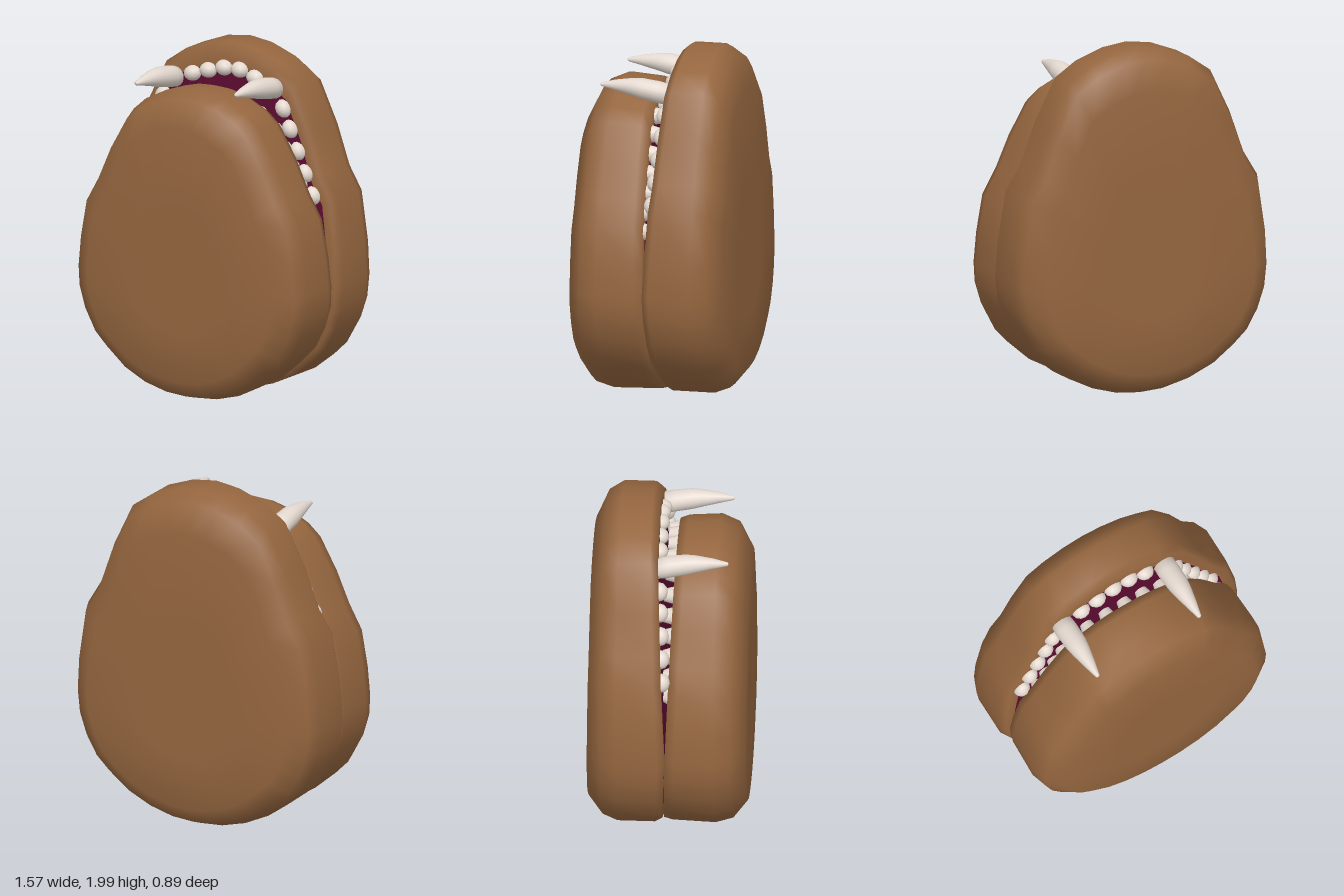
import * as THREE from 'three';

const skin = new THREE.MeshStandardMaterial({ color: 0x95663f });
const gum = new THREE.MeshStandardMaterial({ color: 0x5c0a30 });
const enamel = new THREE.MeshStandardMaterial({ color: 0xe3d8cf });

// Half outlines, from chin (bottom) to lip (top), on the +x side
const backHalf = [[0, 0.01], [0.14, 0.02], [0.29, 0.06], [0.44, 0.13], [0.57, 0.23], [0.655, 0.31],
  [0.725, 0.43], [0.77, 0.56], [0.785, 0.7], [0.775, 0.9], [0.73, 1.2], [0.645, 1.34],
  [0.56, 1.58], [0.44, 1.83], [0.31, 1.92], [0.15, 1.98], [0, 2]];
const frontHalf = [[0, 0.01], [0.14, 0.02], [0.29, 0.06], [0.43, 0.13], [0.56, 0.24], [0.64, 0.32],
  [0.71, 0.45], [0.75, 0.58], [0.757, 0.7], [0.74, 0.88], [0.7, 1.1], [0.615, 1.25],
  [0.53, 1.44], [0.42, 1.63], [0.34, 1.7], [0.2, 1.77], [0.1, 1.795], [0, 1.8]];

// Slightly opened mouth planes of the two jaws
const backMouth = y => -0.05 * Math.abs(y - 0.7);
const frontMouth = y => 0.035 * (y - 0.7);

const mirrorOutline = half =>
  [...half, ...half.slice(1, -1).reverse().map(([x, y]) => [-x, y])];

// Skin a surface over scaled copies of an outline, ordered from back to front.
// Each ring is [scale, z], where z is a number or a function of y.
function loft(name, half, centreY, rings, material) {
  const outline = mirrorOutline(half);
  const n = outline.length;
  const position = [], index = [];
  rings.forEach(([s, z], r) => {
    for (const [x, y] of outline) {
      const py = centreY + (y - centreY) * s;
      position.push(x * s, py, typeof z === 'function' ? z(py) : z);
    }
    if (r === 0) return;
    for (let j = 0; j < n; j++) {
      const a = (r - 1) * n + j, b = (r - 1) * n + (j + 1) % n;
      index.push(a, b, b + n, a, b + n, a + n);
    }
  });
  const geometry = new THREE.BufferGeometry();
  geometry.setAttribute('position', new THREE.Float32BufferAttribute(position, 3));
  geometry.setIndex(index);
  geometry.computeVertexNormals();
  return addMesh(name, geometry, material);
}

function addMesh(name, geometry, material) {
  const mesh = new THREE.Mesh(geometry, material);
  mesh.name = name;
  return mesh;
}

export function createModel() {
  const group = new THREE.Group();

  // Upper (back) jaw and its palate
  const tilt = y => -0.448 + 0.007 * y;
  const palate = [[0.9, backMouth], [0.7, backMouth], [0.45, backMouth], [0.2, backMouth], [0.001, backMouth]];
  group.add(
    loft('upperJaw', backHalf, 0.75, [[0.001, tilt], [0.4, tilt], [0.82, tilt], [0.955, -0.365], [1, -0.28],
      [1, y => backMouth(y) - 0.04], [0.97, backMouth], [0.9, backMouth]], skin),
    loft('palate', backHalf, 0.75, palate, gum));

  // Lower (front) jaw and its mouth floor
  const floor = [[0.001, frontMouth], [0.2, frontMouth], [0.45, frontMouth], [0.7, frontMouth], [0.9, frontMouth]];
  group.add(
    loft('lowerJaw', frontHalf, 0.7, [[0.9, frontMouth], [0.97, frontMouth], [0.988, y => frontMouth(y) + 0.05],
      [1, 0.27], [0.96, 0.37], [0.82, 0.448], [0.4, 0.448], [0.001, 0.448]], skin),
    loft('mouthFloor', frontHalf, 0.7, floor, gum));

  // Rounded upper teeth, set a little off centre
  const bead = new THREE.SphereGeometry(1, 12, 8);
  const shift = -0.025;
  const upperTeeth = new THREE.Group();
  upperTeeth.name = 'upperTeeth';
  const upperSpots = [[0, 1.855], [0.105, 1.842], [0.21, 1.81], [0.405, 1.66], [0.455, 1.55],
    [0.51, 1.43], [0.565, 1.31], [0.62, 1.19]];
  for (const [x, y] of upperSpots) {
    for (const side of x ? [1, -1] : [1]) {
      const tooth = addMesh('upperTooth', bead, enamel);
      const py = y + (x ? 0.015 * side : 0);
      tooth.position.set(shift + x * side, py, backMouth(py));
      tooth.scale.set(0.055, 0.045, 0.05);
      tooth.rotation.z = x > 0.3 ? side * -1 : side * -x;
      upperTeeth.add(tooth);
    }
  }
  group.add(upperTeeth);

  // Small tapered lower teeth pointing back from the front jaw
  const peg = new THREE.CylinderGeometry(0.036, 0.05, 1, 12).rotateX(-Math.PI / 2);
  const lowerTeeth = new THREE.Group();
  lowerTeeth.name = 'lowerTeeth';
  const lowerSpots = [[0, 1.69], [0.12, 1.68], [0.24, 1.64], [0.34, 1.56], [0.4, 1.46], [0.455, 1.36],
    [0.51, 1.26], [0.565, 1.16], [0.61, 1.06]];
  for (const [x, y] of lowerSpots) {
    for (const side of x ? [1, -1] : [1]) {
      const tooth = addMesh('lowerTooth', peg, enamel);
      const length = Math.min(0.055, 0.075 * (y - 0.7));
      tooth.scale.z = length;
      tooth.position.set(0.015 + x * side, y, frontMouth(y) - length / 2 + 0.002);
      lowerTeeth.add(tooth);
    }
  }
  group.add(lowerTeeth);

  // Two long fangs reaching over the front jaw
  const profile = [[0, -0.08], [0.062, -0.08], [0.066, 0], [0.062, 0.1], [0.052, 0.16], [0.033, 0.25],
    [0.012, 0.335], [0, 0.342]].map(p => new THREE.Vector2(...p));
  const fang = new THREE.LatheGeometry(profile, 16).rotateX(Math.PI / 2);
  // Lift the fang gently towards its middle and tip
  const p = fang.attributes.position;
  for (let i = 0; i < p.count; i++) {
    const t = (p.getZ(i) + 0.08) / 0.42;
    p.setY(i, p.getY(i) * 0.95 + 0.045 * Math.sin(Math.min(t * 1.9, Math.PI / 2)));
  }
  fang.computeVertexNormals();
  for (const side of [1, -1]) {
    const mesh = addMesh(side > 0 ? 'leftFang' : 'rightFang', fang, enamel);
    mesh.position.set(shift + side * 0.335, 1.765 + side * 0.012, 0);
    group.add(mesh);
  }
  return group;
}
